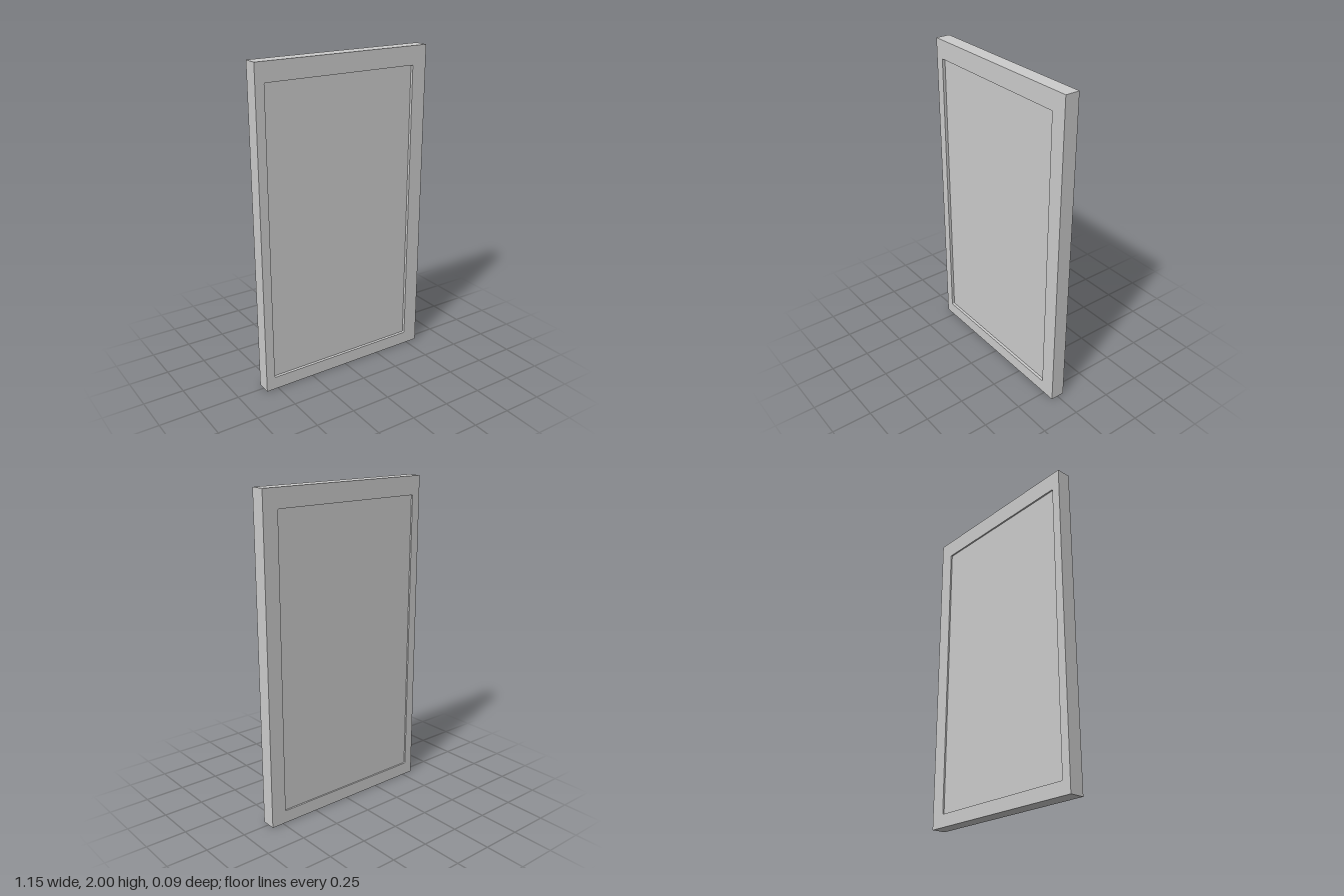
import * as THREE from 'three';

export function createModel() {
  const group = new THREE.Group();
  const mat = new THREE.MeshStandardMaterial({ color: 0xcccccc, flatShading: true });
  const halfW = 0.576, height = 2, depth = 0.09;
  // the opening sits slightly off centre
  const x0 = -0.52, x1 = 0.48, y0 = 0.08, y1 = 1.885, r = 0.006;

  // Frame: flat slab with an opening whose corners are slightly eased
  const outline = new THREE.Shape([
    new THREE.Vector2(-halfW, 0), new THREE.Vector2(halfW, 0),
    new THREE.Vector2(halfW, height), new THREE.Vector2(-halfW, height),
  ]);
  const hole = new THREE.Path();
  hole.absarc(x1 - r, y1 - r, r, 0, Math.PI / 2);
  hole.absarc(x0 + r, y1 - r, r, Math.PI / 2, Math.PI);
  hole.absarc(x0 + r, y0 + r, r, Math.PI, Math.PI * 1.5);
  hole.absarc(x1 - r, y0 + r, r, Math.PI * 1.5, Math.PI * 2);
  hole.closePath();
  outline.holes.push(hole);
  const frameGeo = new THREE.ExtrudeGeometry(outline, { depth, bevelEnabled: false, curveSegments: 4 });
  frameGeo.translate(0, 0, -depth / 2);
  const frame = new THREE.Mesh(frameGeo, mat);
  frame.name = 'frame';
  group.add(frame);

  // Panel: recessed on both faces, its edge hidden inside the frame
  const front = depth / 2 - 0.018, back = -depth / 2 + 0.01, tuck = 0.01;
  const panel = new THREE.Mesh(
    new THREE.BoxGeometry(x1 - x0 + 2 * tuck, y1 - y0 + 2 * tuck, front - back), mat);
  panel.position.set((x0 + x1) / 2, (y0 + y1) / 2, (front + back) / 2);
  panel.name = 'panel';
  group.add(panel);

  return group;
}
